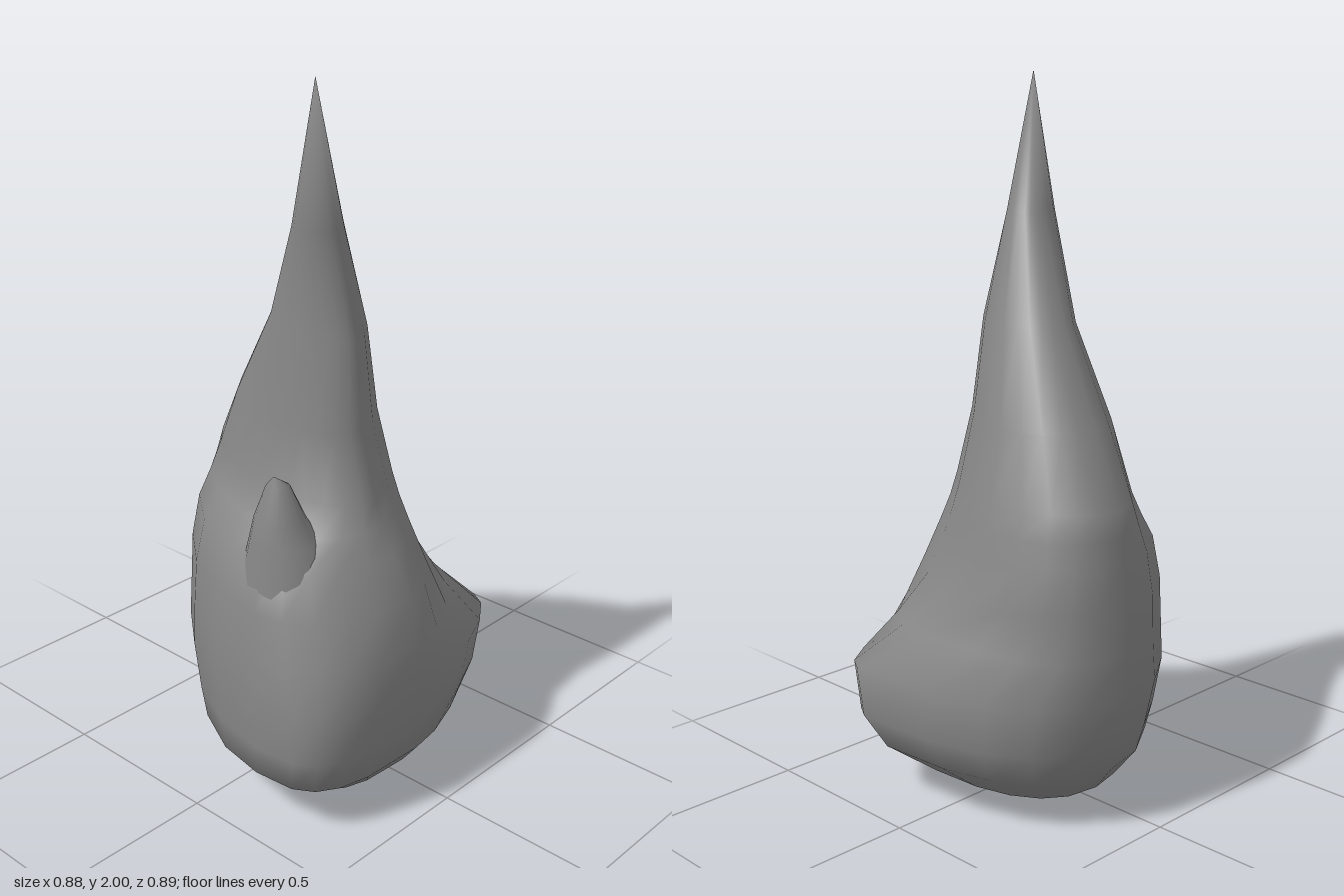
import * as THREE from 'three';
import { mergeVertices } from 'three/addons/utils/BufferGeometryUtils.js';

const SEGMENTS = 20;

// Skewed oval: four extreme points joined by superellipse quarters.
// Ring: [y, xLeft, zAtLeft, xRight, zAtRight, zBack, xAtBack, zFront, xAtFront]
// power(y, c, s) below 1 squares a quarter off, above 1 flattens it
function ringPoint([y, xl, zl, xr, zr, zb, xb, zf, xf], angle, power) {
  const c = Math.cos(angle), s = Math.sin(angle);
  const p = power(y, c, s);
  const cx = s >= 0 ? xf : xb;
  const cz = c >= 0 ? zr : zl;
  return [
    cx + (c >= 0 ? xr - cx : xl - cx) * Math.abs(c) ** p,
    y,
    cz + (s >= 0 ? zf - cz : zb - cz) * Math.abs(s) ** p,
  ];
}

// Skin a stack of rings from bottom to top, smooth normals
function loft(rings, power) {
  const positions = [], index = [];
  rings.forEach((ring, i) => {
    for (let j = 0; j < SEGMENTS; j++) {
      positions.push(...ringPoint(ring, (j / SEGMENTS) * Math.PI * 2, power));
      if (i === rings.length - 1) continue;
      const a = i * SEGMENTS + j, b = i * SEGMENTS + ((j + 1) % SEGMENTS);
      index.push(a, a + SEGMENTS, b, b, a + SEGMENTS, b + SEGMENTS);
    }
  });
  const geometry = new THREE.BufferGeometry();
  geometry.setAttribute('position', new THREE.Float32BufferAttribute(positions, 3));
  geometry.setIndex(index);
  const merged = mergeVertices(geometry, 1e-4);
  merged.computeVertexNormals();
  return merged;
}

// Body corners: square front -x corner low down, full back +x, flatter elsewhere
function bodyPower(y, c, s) {
  if (c >= 0) return s >= 0 ? 1.25 : 0.8;
  return s >= 0 ? 0.58 + 0.42 * THREE.MathUtils.smoothstep(y, 0.35, 0.7) : 1.1;
}

export function createModel() {
  const group = new THREE.Group();
  group.name = 'flame';
  const material = new THREE.MeshStandardMaterial({ color: 0x868686 });
  const add = (name, rings, power) => {
    const mesh = new THREE.Mesh(loft(rings, power), material);
    mesh.name = name;
    group.add(mesh);
  };

  // Main flame: rounded base, bulge on one side, long tip leaning off centre
  add('flameBody', [
    [0.00, 0.02, -0.13, 0.02, -0.13, -0.13, 0.02, -0.13, 0.02],
    [0.03, -0.15, 0.03, 0.20, 0.02, -0.24, 0.03, 0.24, 0.00],
    [0.07, -0.31, 0.10, 0.29, 0.08, -0.31, 0.05, 0.35, -0.02],
    [0.15, -0.43, 0.17, 0.395, 0.17, -0.375, 0.06, 0.415, -0.04],
    [0.24, -0.44, 0.18, 0.435, 0.22, -0.41, 0.07, 0.427, -0.04],
    [0.38, -0.445, 0.18, 0.44, 0.24, -0.445, 0.07, 0.445, -0.04],
    [0.50, -0.43, 0.16, 0.36, 0.08, -0.445, 0.08, 0.43, -0.05],
    [0.63, -0.41, 0.15, 0.33, -0.10, -0.445, 0.08, 0.41, -0.07],
    [0.75, -0.37, 0.14, 0.30, -0.12, -0.43, 0.08, 0.35, -0.08],
    [0.82, -0.29, 0.12, 0.285, -0.12, -0.42, 0.08, 0.31, -0.08],
    [0.89, -0.215, 0.08, 0.265, -0.12, -0.41, 0.08, 0.285, -0.08],
    [1.08, -0.205, 0.07, 0.21, -0.10, -0.30, 0.05, 0.24, -0.09],
    [1.33, -0.16, 0.09, 0.115, -0.02, -0.145, 0.01, 0.22, -0.09],
    [1.62, -0.20, 0.12, -0.03, 0.09, 0.035, -0.09, 0.185, -0.13],
    [2.00, -0.16, 0.14, -0.16, 0.14, 0.14, -0.16, 0.14, -0.16],
  ], bodyPower);

  // Small flame tongue growing out of the shoulder
  add('sideTongue', [
    [0.60, -0.40, 0.15, -0.10, 0.15, -0.05, -0.24, 0.30, -0.24],
    [0.74, -0.385, 0.15, -0.14, 0.15, 0.02, -0.27, 0.27, -0.27],
    [0.81, -0.378, 0.15, -0.20, 0.15, 0.05, -0.29, 0.24, -0.29],
    [0.87, -0.37, 0.15, -0.235, 0.15, 0.07, -0.30, 0.215, -0.30],
    [0.97, -0.345, 0.15, -0.285, 0.15, 0.12, -0.32, 0.185, -0.31],
    [1.00, -0.33, 0.15, -0.33, 0.15, 0.15, -0.33, 0.15, -0.33],
  ], () => 1);

  return group;
}
